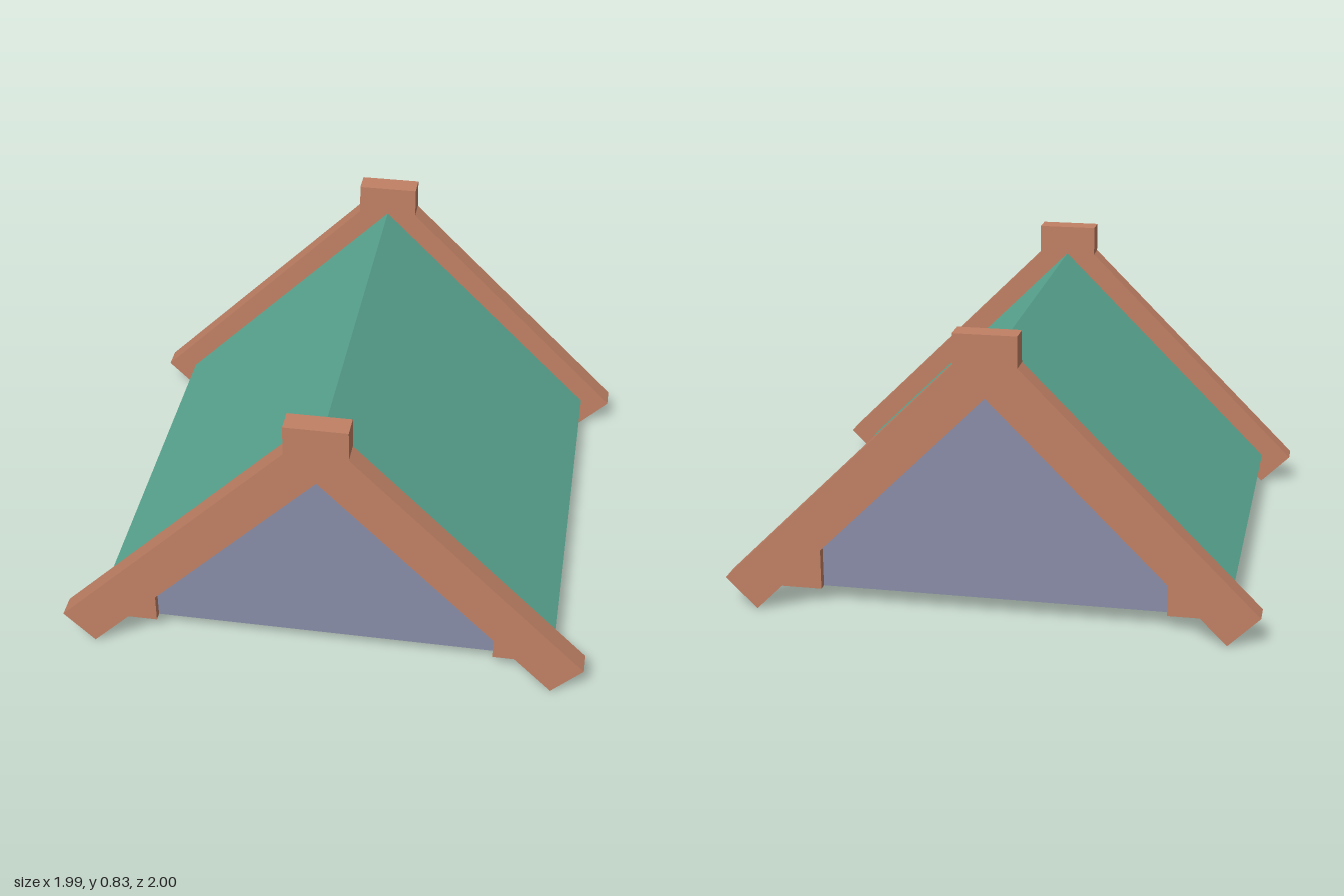
import * as THREE from 'three';

const mat = (name, color) => {
  const m = new THREE.MeshStandardMaterial({ color });
  m.name = name;
  return m;
};

// Extrude a profile (x, y points) between two depths
function prism(name, points, z0, z1, material) {
  const shape = new THREE.Shape(points.map(([x, y]) => new THREE.Vector2(x, y)));
  const geo = new THREE.ExtrudeGeometry(shape, { depth: z1 - z0, bevelEnabled: false });
  geo.translate(0, 0, z0);
  const mesh = new THREE.Mesh(geo, material);
  mesh.name = name;
  return mesh;
}

// Complete a right-hand half profile with its mirror image
const mirrored = (half) => [...half, ...half.slice().reverse().map(([x, y]) => [-x, y])];

export function createModel() {
  const wood = mat('wood', 0xc08064);
  const cloth = mat('green roof', 0x5cab95);
  const wall = mat('grey blue wall', 0x888ca6);

  const tent = new THREE.Group();
  tent.name = 'tent';

  // Solid body: gable walls and floor, set slightly inside the roof ends
  tent.add(prism('body', [[-0.615, 0.047], [0.615, 0.047], [0, 0.662]], -0.585, 0.585, wall));

  // Roof slabs, cut square at the eaves
  for (const s of [1, -1]) {
    const slab = [[0, 0.743], [0, 0.662], [0.613, 0.049], [0.654, 0.09]].map(([x, y]) => [s * x, y]);
    tent.add(prism(s > 0 ? 'leftRoof' : 'rightRoof', slab, -0.61, 0.61, cloth));
  }

  // Gable frames: crossed rafters with a square ridge block
  const frame = [
    ...mirrored([[0, 0.656], [0.655, 0.001], [0.743, 0.088], [0.0875, 0.743], [0.0875, 0.83]]).slice(0, -1),
  ];
  for (const s of [1, -1]) {
    const [z0, z1] = s > 0 ? [0.608, 0.672] : [-0.672, -0.608];
    tent.add(prism(s > 0 ? 'frontFrame' : 'backFrame', frame, z0, z1, wood));

    // Low corner posts at the foot of each gable wall
    for (const side of [1, -1]) {
      const post = [[0.486, 0.047], [0.613, 0.047], [0.486, 0.174]].map(([x, y]) => [side * x, y]);
      const [p0, p1] = s > 0 ? [0.57, 0.61] : [-0.61, -0.57];
      tent.add(prism('cornerPost', post, p0, p1, wood));
    }
  }

  // Stands turned on the ground
  tent.rotation.y = -0.85;

  const model = new THREE.Group();
  model.name = 'tentModel';
  model.add(tent);
  return model;
}
